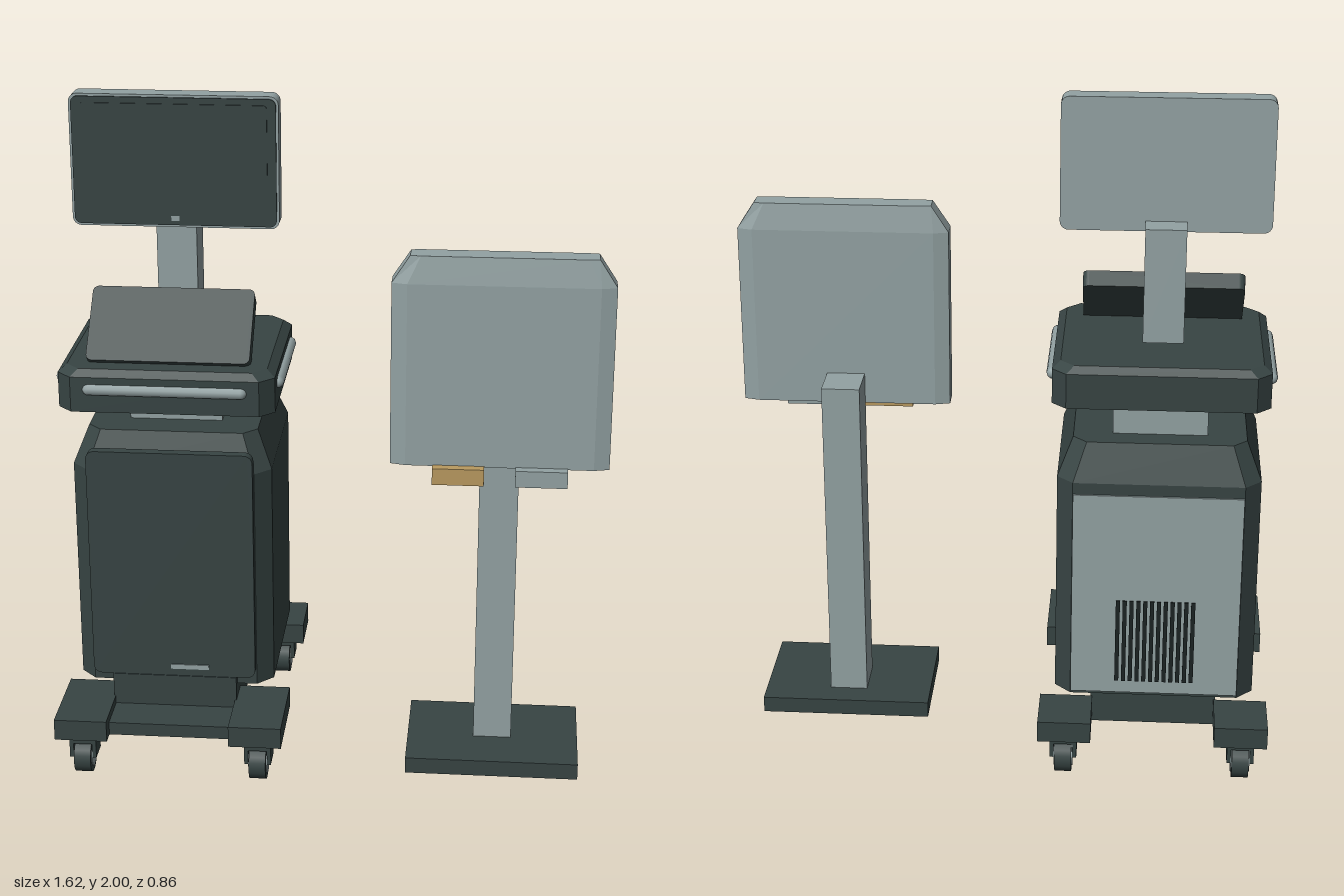
import * as THREE from 'three';

const dark = new THREE.MeshStandardMaterial({ color: 0x374443 });
dark.name = 'dark slate';
const light = new THREE.MeshStandardMaterial({ color: 0x93a2a3 });
light.name = 'light grey';
const tan = new THREE.MeshStandardMaterial({ color: 0xb99a60 });
tan.name = 'tan';
const black = new THREE.MeshStandardMaterial({ color: 0x1b2323 });
black.name = 'vent black';

function add(parent, name, geometry, material, x = 0, y = 0, z = 0) {
  const mesh = new THREE.Mesh(geometry, material);
  mesh.name = name;
  mesh.position.set(x, y, z);
  parent.add(mesh);
  return mesh;
}

// Box given by its limits on each axis
function box(parent, name, material, [x0, x1], [y0, y1], [z0, z1]) {
  const g = new THREE.BoxGeometry(x1 - x0, y1 - y0, z1 - z0);
  return add(parent, name, g, material, (x0 + x1) / 2, (y0 + y1) / 2, (z0 + z1) / 2);
}

// Stack of corner-cut rectangles; each level is [y, halfWidth, back z, front z, cut x, cut z]
function loft(levels) {
  const pos = [], index = [], n = 8;
  for (const [y, h, b, f, cx, cz] of levels) {
    const ring = [
      [h - cx, f], [h, f - cz], [h, b + cz], [h - cx, b],
      [cx - h, b], [-h, b + cz], [-h, f - cz], [cx - h, f],
    ];
    for (const [x, z] of ring) pos.push(x, y, z);
  }
  const top = (levels.length - 1) * n;
  for (let k = 0; k < top; k += n) {
    for (let i = 0; i < n; i++) {
      const a = k + i, c = k + (i + 1) % n;
      index.push(a, c, c + n, a, c + n, a + n);
    }
  }
  for (let i = 1; i < n - 1; i++) {
    index.push(0, i + 1, i, top, top + i, top + i + 1);
  }
  const g = new THREE.BufferGeometry();
  g.setAttribute('position', new THREE.Float32BufferAttribute(pos, 3));
  g.setIndex(index);
  const flat = g.toNonIndexed();
  flat.computeVertexNormals();
  return flat;
}

// Upright plate with rounded corners, centred on all axes
function plate(w, h, d, r) {
  const s = new THREE.Shape(), x = w / 2, y = h / 2, q = Math.PI / 2;
  s.absarc(x - r, y - r, r, 0, q);
  s.absarc(r - x, y - r, r, q, 2 * q);
  s.absarc(r - x, r - y, r, 2 * q, 3 * q);
  s.absarc(x - r, r - y, r, 3 * q, 4 * q);
  return new THREE.ExtrudeGeometry(s, { depth: d, bevelEnabled: false, curveSegments: 4 })
    .translate(0, 0, -d / 2);
}

function caster(parent, x, z) {
  const c = new THREE.Group();
  c.name = 'caster';
  c.position.set(x, 0, z);
  parent.add(c);
  const axle = Math.PI / 2;
  add(c, 'wheel', new THREE.CylinderGeometry(0.055, 0.055, 0.05, 20).rotateZ(axle), dark, 0, 0.055, 0);
  add(c, 'hub', new THREE.CylinderGeometry(0.038, 0.038, 0.056, 16).rotateZ(axle), light, 0, 0.055, 0);
  for (const s of [-1, 1]) {
    box(c, 'forkArm', dark, [s * 0.034 - 0.006, s * 0.034 + 0.006], [0.06, 0.13], [-0.036, 0.036]);
  }
  box(c, 'forkTop', dark, [-0.04, 0.04], [0.105, 0.14], [-0.036, 0.036]);
}

function makeCart() {
  const cart = new THREE.Group();
  cart.name = 'cart';
  cart.position.x = -0.471;

  // Wheeled base
  box(cart, 'plinth', dark, [-0.187, 0.187], [0.12, 0.28], [-0.262, 0.26]);
  box(cart, 'frontCrossbar', dark, [-0.187, 0.187], [0.14, 0.18], [0.2, 0.385]);
  for (const s of [-1, 1]) {
    const span = s < 0 ? [-0.339, -0.182] : [0.182, 0.339];
    box(cart, 'rearFoot', dark, span, [0.14, 0.205], [-0.43, -0.262]);
    box(cart, 'frontFoot', dark, span, [0.14, 0.205], [0.165, 0.43]);
    for (const z of [-0.347, 0.352]) caster(cart, s * 0.264, z);
  }

  // Cabinet with front door and rear vent panel
  add(cart, 'cabinet', loft([
    [0.25, 0.294, -0.325, 0.235, 0.047, 0.047],
    [0.935, 0.294, -0.325, 0.235, 0.047, 0.047],
    [1.045, 0.25, -0.28, 0.19, 0.04, 0.04],
  ]), dark);
  add(cart, 'frontDoor', plate(0.49, 0.72, 0.03, 0.025), dark, 0, 0.642, 0.246);
  box(cart, 'doorLabel', light, [-0.01, 0.105], [0.305, 0.32], [0.26, 0.264]);
  box(cart, 'rearPanel', light, [-0.246, 0.246], [0.26, 0.9], [-0.331, -0.32]);
  for (let i = 0; i < 12; i++) {
    const x = -0.11 + i * 0.02;
    box(cart, 'ventSlot', black, [x - 0.006, x + 0.006], [0.3, 0.565], [-0.335, -0.33]);
  }
  box(cart, 'neck', light, [-0.137, 0.137], [1.04, 1.15], [-0.21, 0.09]);

  // Work tray with grab rails
  add(cart, 'tray', loft([
    [1.14, 0.314, -0.264, 0.3, 0.042, 0.042],
    [1.245, 0.314, -0.264, 0.3, 0.042, 0.042],
    [1.265, 0.29, -0.245, 0.28, 0.04, 0.04],
  ]), dark);
  const rail = (length) => new THREE.CapsuleGeometry(0.018, length - 0.036, 4, 10);
  add(cart, 'frontRail', rail(0.475).rotateZ(Math.PI / 2), light, 0, 1.208, 0.294);
  for (const s of [-1, 1]) {
    add(cart, 'sideRail', rail(0.38).rotateX(Math.PI / 2), light, s * 0.315, 1.208, 0.015);
  }

  // Tilted control console
  const consoleSlab = add(cart, 'console', plate(0.475, 0.24, 0.05, 0.018), dark, 0, 1.343, 0.132);
  consoleSlab.rotation.x = -Math.PI / 4;

  // Monitor on its post
  box(cart, 'monitorPost', light, [-0.06, 0.058], [1.3, 1.64], [-0.14, -0.015]);
  add(cart, 'monitorShell', plate(0.606, 0.39, 0.062, 0.025), light, 0, 1.805, -0.03);
  add(cart, 'monitorScreen', plate(0.592, 0.376, 0.006, 0.02), dark, 0, 1.805, 0.003);
  add(cart, 'screenBezel', plate(0.54, 0.3, 0.005, 0.01), dark, 0, 1.825, 0.007);
  box(cart, 'powerMark', light, [-0.012, 0.012], [1.63, 1.645], [0.005, 0.009]);
  return cart;
}

function makeStand() {
  const stand = new THREE.Group();
  stand.name = 'panelStand';
  stand.position.x = 0.488;
  box(stand, 'standBase', dark, [-0.258, 0.261], [0, 0.05], [-0.073, 0.295]);
  box(stand, 'standColumn', light, [-0.057, 0.058], [0.05, 1.072], [0.005, 0.142]);
  add(stand, 'panel', loft([
    [0.977, 0.317, 0.137, 0.228, 0.045, 0.012],
    [1.525, 0.317, 0.137, 0.228, 0.045, 0.012],
    [1.605, 0.265, 0.149, 0.216, 0.03, 0.004],
  ]), light);
  box(stand, 'tanControl', tan, [-0.193, -0.043], [0.93, 0.98], [0.228, 0.257]);
  box(stand, 'greyControl', light, [0.047, 0.198], [0.93, 0.98], [0.228, 0.257]);
  return stand;
}

export function createModel() {
  const model = new THREE.Group();
  model.name = 'cartAndPanelStand';
  model.add(makeCart(), makeStand());
  return model;
}
